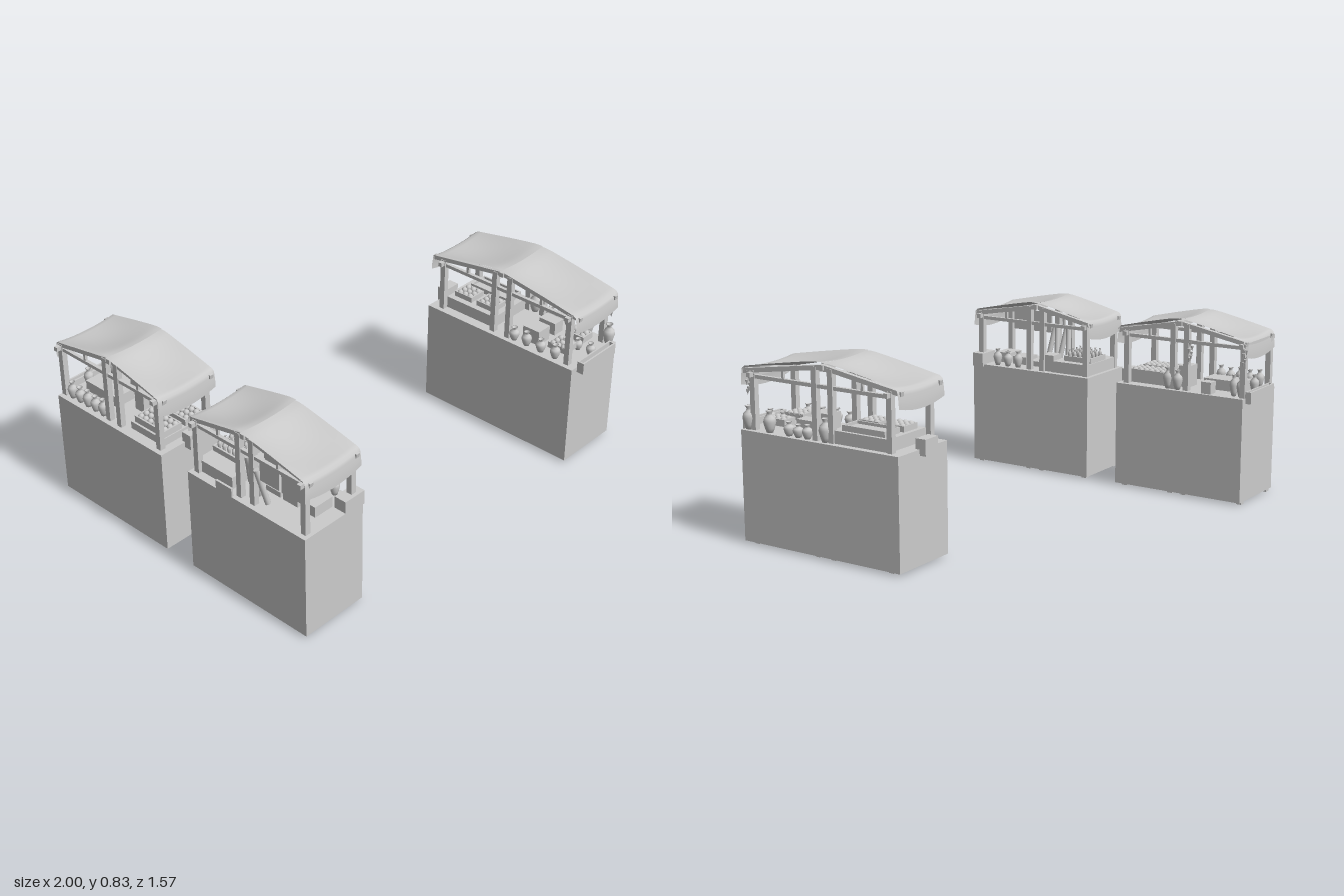
import * as THREE from 'three';

const grey = new THREE.MeshStandardMaterial({ color: 0xcccccc, side: THREE.DoubleSide });
const V = (x, y, z) => new THREE.Vector3(x, y, z);

function add(parent, name, geo, x = 0, y = 0, z = 0) {
  const m = new THREE.Mesh(geo, grey);
  m.name = name;
  m.position.set(x, y, z);
  parent.add(m);
  return m;
}

// box resting on height y
const block = (p, name, w, h, d, x, y, z) => add(p, name, new THREE.BoxGeometry(w, h, d), x, y + h / 2, z);

// square timber between two points
function timber(p, name, a, b, t) {
  const m = add(p, name, new THREE.BoxGeometry(t, t, a.distanceTo(b)));
  m.position.copy(a).lerp(b, 0.5);
  m.lookAt(b);
  return m;
}

// turned jar with shoulder, neck and lip
function jar(p, x, z, h, r, y = 0.5) {
  const pts = [[0, 0], [0.5, 0], [0.75, 0.2], [1, 0.5], [0.85, 0.68], [0.4, 0.8], [0.35, 0.9], [0.6, 1], [0.45, 1], [0.2, 0.88]]
    .map(([a, b]) => new THREE.Vector2(a * r, b * h));
  add(p, 'jar', new THREE.LatheGeometry(pts, 14), x, y, z);
}

// shallow open tray: floor and four rims
function tray(p, name, w, h, d, x, y, z) {
  const g = new THREE.Group(), t = 0.008;
  g.name = name;
  block(g, 'trayFloor', w, h * 0.5, d, 0, 0, 0);
  for (const s of [-1, 1]) {
    block(g, 'trayRim', t, h, d, s * (w - t) / 2, 0, 0);
    block(g, 'trayRim', w, h, t, 0, 0, s * (d - t) / 2);
  }
  g.position.set(x, y, z);
  p.add(g);
  return g;
}

// sagging canopy panel from ridge to eave, ending in a hanging valance
function canopy(p, w, x, ridge, eave) {
  const nu = 14, nv = 22, geo = new THREE.PlaneGeometry(1, 1, nu, nv), pos = geo.attributes.position;
  for (let i = 0; i < pos.count; i++) {
    const u = pos.getX(i) * 2, v = 0.5 - pos.getY(i);
    const bow = 1 - u * u, t = Math.min(v / 0.75, 1), drop = Math.max(0, (v - 0.75) / 0.25);
    const slope = 0.835 - 0.07 * Math.pow(Math.max(0, t - 0.08), 1.1);
    const sag = bow * (0.01 + 0.018 * Math.sin(Math.PI * t));
    const z = ridge + (eave - ridge) * (t * 0.975 + 0.025 * Math.sin(drop * Math.PI / 2));
    pos.setXYZ(i, x + u * w / 2, slope - sag - drop * (0.08 + 0.012 * bow), z);
  }
  geo.computeVertexNormals();
  add(p, 'canopy', geo);
}

// string of small hanging bulbs
function garland(p, x, z, top, n) {
  const g = new THREE.Group();
  g.name = 'garland';
  for (let i = 0; i < n; i++) {
    const c = add(g, 'garlandBulb', new THREE.ConeGeometry(0.008, 0.026, 6),
      x + 0.006 * Math.cos(i * 2.4), top - i * 0.014, z + 0.008 * Math.sin(i * 2.4));
    c.rotation.z = Math.PI;
  }
  p.add(g);
}

// draped counter, timber frame and two-sided roof
function stall(name, o) {
  const g = new THREE.Group();
  g.name = name;
  const { cx, w, z0, z1, ridge, posts, mid } = o;
  const geo = new THREE.BoxGeometry(w, 0.488, z1 - z0);
  geo.setIndex([...geo.index.array].filter((_, i) => i < 18 || i > 23)); // open underneath
  add(g, 'counterSkirt', geo, cx, 0.256, (z0 + z1) / 2);
  const e0 = z0 - 0.0, e1 = z1 + 0.005, t = 0.026;
  for (const s of [-1, 1]) {
    const x = cx + s * 0.13;
    for (const z of posts) block(g, 'cornerPost', t, 0.755, t, x, 0, z);
    for (const z of mid) block(g, 'ridgePost', t, 0.81, t, x, 0, z);
    timber(g, 'sideRail', V(x, 0.73, posts[0]), V(x, 0.73, posts[1]), 0.016);
    for (const e of [e0, e1]) {
      timber(g, 'rafter', V(x, 0.812, ridge), V(x, 0.748, e), 0.02);
      timber(g, 'brace', V(x, 0.735, (e + ridge) / 2), V(x, 0.78, (e + ridge) / 2), 0.012);
    }
  }
  timber(g, 'ridgeBeam', V(cx - w / 2 + 0.015, 0.812, ridge), V(cx + w / 2 - 0.015, 0.812, ridge), 0.022);
  for (const z of posts) timber(g, 'eaveBeam', V(cx - w / 2, 0.74, z), V(cx + w / 2, 0.74, z), 0.02);
  canopy(g, w - 0.02, cx - 0.005, ridge, e1);
  canopy(g, w - 0.025, cx + 0.002, ridge, e0);
  return g;
}

// row of jars along z
function jarRow(p, x, zs, h, r) {
  zs.forEach((z, i) => jar(p, x, z, h * (1 - 0.08 * (i % 2)), r));
}

// tray of produce
function produce(p, x, y, z, w, d) {
  const g = tray(p, 'produceTray', w, 0.03, d, x, y, z);
  const nx = Math.round(w / 0.032), nz = Math.round(d / 0.032);
  for (let i = 0; i < nx; i++) for (let j = 0; j < nz; j++)
    add(g, 'produce', new THREE.SphereGeometry(0.014, 8, 6), (i + 0.5 - nx / 2) * 0.029, 0.024, (j + 0.5 - nz / 2) * 0.029);
}

export function createModel() {
  const root = new THREE.Group();
  root.name = 'marketStalls';

  // pottery stall, alone on the left
  const c = stall('potteryStall', { cx: 0.83, w: 0.33, z0: -0.08, z1: 0.75, ridge: 0.32, posts: [-0.02, 0.7], mid: [0.28, 0.365] });
  tray(c, 'frontTray', 0.24, 0.055, 0.035, 0.825, 0.475, 0.767);
  block(c, 'rearBox', 0.085, 0.07, 0.05, 0.81, 0.475, -0.085);
  block(c, 'counterRiser', 0.25, 0.055, 0.28, 0.84, 0.5, 0.13);
  jarRow(c, 0.965, [0.73, 0.615, 0.315], 0.1, 0.028);
  jarRow(c, 0.965, [0.51, 0.46, 0.41], 0.06, 0.024);
  jarRow(c, 0.7, [0.63, 0.55, 0.47, 0.4], 0.07, 0.024);
  jarRow(c, 0.83, [0.73, 0.66], 0.06, 0.022);
  produce(c, 0.765, 0.52, 0.62, 0.08, 0.1);
  produce(c, 0.89, 0.52, 0.62, 0.07, 0.1);
  block(c, 'crate', 0.08, 0.07, 0.09, 0.77, 0.5, 0.47);
  block(c, 'crate', 0.06, 0.06, 0.09, 0.88, 0.5, 0.47);
  for (const z of [0.06, 0.19]) produce(c, 0.79, 0.55, z, 0.09, 0.1);
  tray(c, 'flatTray', 0.1, 0.025, 0.22, 0.9, 0.555, 0.13);
  garland(c, 0.96, 0.73, 0.74, 7);

  // cloth stall, front right
  const b = stall('clothStall', { cx: -0.835, w: 0.33, z0: 0.06, z1: 0.72, ridge: 0.37, posts: [0.09, 0.69], mid: [0.335, 0.41] });
  block(b, 'cornerBox', 0.11, 0.065, 0.06, -0.715, 0.49, 0.69);
  block(b, 'counterRiser', 0.26, 0.055, 0.2, -0.83, 0.5, 0.18);
  tray(b, 'bottleRack', 0.14, 0.025, 0.15, -0.81, 0.555, 0.16);
  for (let i = 0; i < 4; i++) for (let j = 0; j < 5; j++)
    jar(b, -0.86 + i * 0.033, 0.105 + j * 0.028, 0.045, 0.009, 0.565);
  for (const z of [0.62, 0.502]) block(b, 'hangingCloth', 0.008, 0.1, 0.105, -0.965, 0.635, z);
  for (let i = 0; i < 4; i++) {
    const roll = add(b, 'clothRoll', new THREE.CylinderGeometry(0.013, 0.013, 0.18, 10), -0.95 + i * 0.02, 0.59, 0.44 - i * 0.045);
    roll.rotation.set(0.12 * (i % 2 ? 1 : -1), 0, 0.22);
  }
  for (let i = 0; i < 3; i++) block(b, 'foldedCloth', 0.1, 0.025 + i * 0.012, 0.08, -0.82, 0.5, 0.42 + i * 0.095);
  jarRow(b, -0.705, [0.6, 0.54, 0.48], 0.08, 0.022);
  block(b, 'crate', 0.07, 0.08, 0.07, -0.74, 0.5, 0.31);
  block(b, 'sidePanel', 0.01, 0.09, 0.09, -0.995, 0.45, 0.27);

  // produce stall, back right
  const a = stall('produceStall', { cx: -0.835, w: 0.33, z0: -0.76, z1: -0.1, ridge: -0.42, posts: [-0.745, -0.14], mid: [-0.455, -0.385] });
  tray(a, 'rearTray', 0.24, 0.055, 0.03, -0.82, 0.475, -0.772);
  block(a, 'frontBox', 0.085, 0.07, 0.05, -0.825, 0.475, -0.09);
  block(a, 'counterRiser', 0.22, 0.035, 0.2, -0.84, 0.5, -0.24);
  for (const x of [-0.77, -0.89]) produce(a, x, 0.535, -0.235, 0.1, 0.18);
  jarRow(a, -0.7, [-0.36, -0.41], 0.1, 0.024);
  block(a, 'crate', 0.08, 0.1, 0.055, -0.8, 0.5, -0.41);
  block(a, 'crate', 0.05, 0.055, 0.05, -0.71, 0.5, -0.565);
  block(a, 'lowShelf', 0.1, 0.05, 0.2, -0.84, 0.5, -0.6);
  jarRow(a, -0.965, [-0.7, -0.65, -0.6, -0.55, -0.5], 0.08, 0.022);
  jarRow(a, -0.72, [-0.69, -0.725], 0.1, 0.02);
  jarRow(a, -0.85, [-0.73], 0.08, 0.022);
  garland(a, -0.69, -0.48, 0.73, 7);
  garland(a, -0.69, -0.755, 0.74, 7);

  root.add(a, b, c);
  return root;
}
